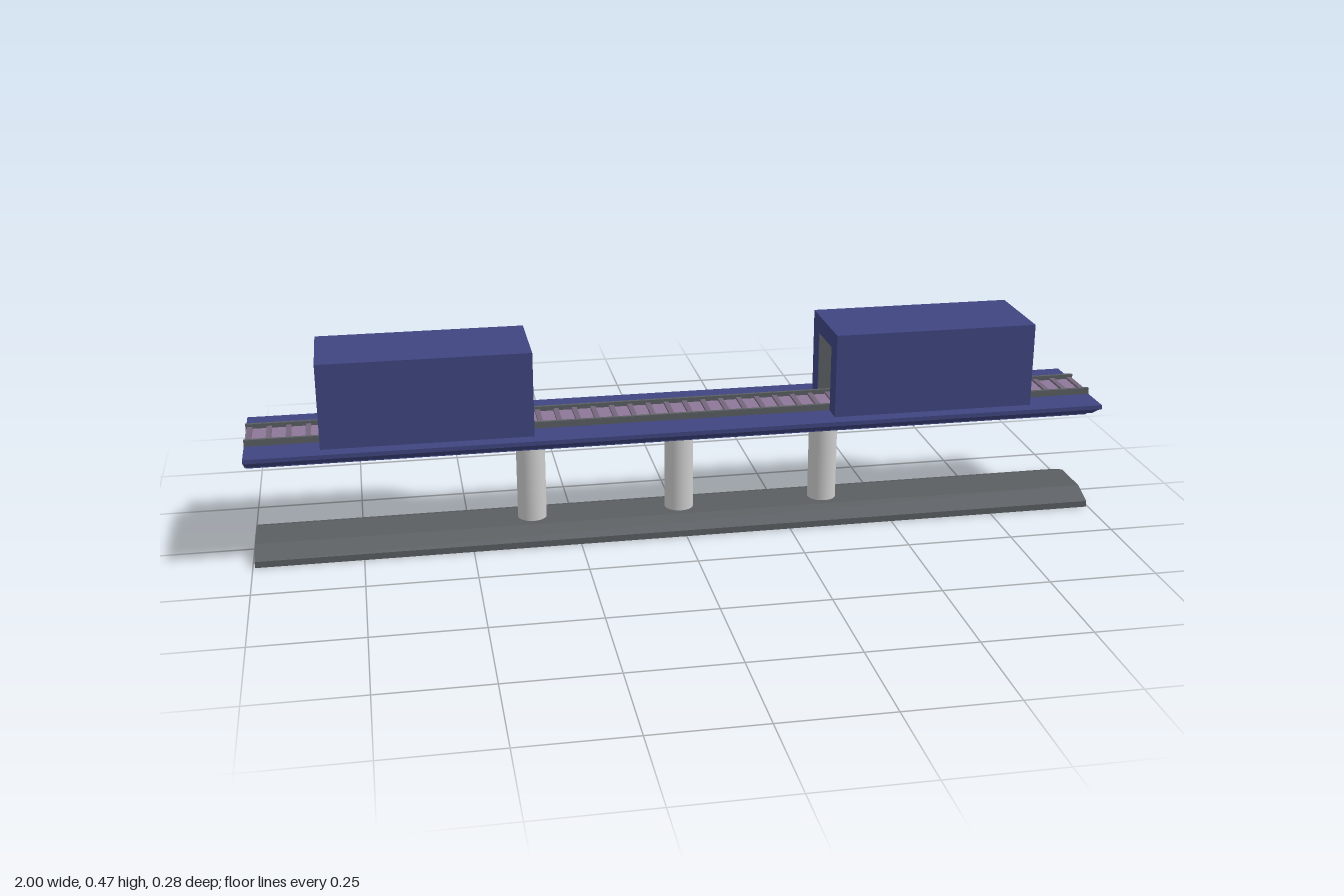
import * as THREE from 'three';

const material = (name, color) => {
  const m = new THREE.MeshStandardMaterial({ color });
  m.name = name;
  return m;
};

// Extrude a closed [z, y] profile along x, centred on x = 0
function prism(points, length) {
  const shape = new THREE.Shape(points.map(([z, y]) => new THREE.Vector2(z, y)));
  const geo = new THREE.ExtrudeGeometry(shape, { depth: length, bevelEnabled: false });
  return geo.translate(0, 0, -length / 2).rotateY(Math.PI / 2);
}

// Mirror a half profile across z = 0
const mirrored = half => [...half, ...half.map(([z, y]) => [-z, y]).reverse()];

// Upside-down U outline, open at the bottom
const arch = (outer, top, inner, ceiling, floor) => mirrored([
  [outer, top], [outer, floor], [inner, floor], [inner, ceiling],
]);

export function createModel() {
  const group = new THREE.Group();
  const blue = material('deck blue', 0x3f4580);
  const darkGrey = material('dark grey', 0x5a5e62);
  const lightGrey = material('light grey', 0xcccccc);
  const mauve = material('track bed mauve', 0x8d7898);
  const tieGrey = material('tie grey mauve', 0x74667c);

  const add = (name, geo, mat, x = 0, y = 0, z = 0) => {
    const mesh = new THREE.Mesh(geo, mat);
    mesh.name = name;
    mesh.position.set(x, y, z);
    group.add(mesh);
    return mesh;
  };

  // Ground plinth with sloping shoulders
  add('base', prism(mirrored([[0.108, 0], [0.108, 0.015], [0.053, 0.035]]), 1.99), darkGrey);

  // Bridge deck
  add('deck', prism(mirrored([
    [0.055, 0.222], [0.055, 0.238], [0.09, 0.238],
    [0.118, 0.255], [0.14, 0.265], [0.14, 0.275],
  ]), 2), blue);

  // Round pillars
  const pillar = new THREE.CylinderGeometry(0.034, 0.034, 0.19, 32);
  for (const x of [-0.353, 0, 0.353]) add('pillar', pillar, lightGrey, x, 0.129);

  // Track bed, cross ties and rails
  add('trackBed', new THREE.BoxGeometry(1.998, 0.005, 0.1), mauve, 0, 0.2765);
  const tie = new THREE.BoxGeometry(0.012, 0.009, 0.1);
  const count = 46, pitch = 1.98 / (count - 1);
  for (let i = 0; i < count; i++) add('tie', tie, tieGrey, -0.99 + i * pitch, 0.2795);
  const rail = new THREE.BoxGeometry(2, 0.015, 0.008);
  for (const side of [-1, 1]) add('rail', rail, darkGrey, 0, 0.2825, side * 0.052);

  // Two covered sections with a lined passage and an inner partition
  const shell = prism(arch(0.106, 0.474, 0.058, 0.432, 0.274), 0.48);
  const lining = prism(arch(0.0585, 0.4325, 0.056, 0.43, 0.274), 0.478);
  const partition = new THREE.BoxGeometry(0.006, 0.156, 0.114);
  for (const side of [-1, 1]) {
    add('tunnel', shell, blue, side * 0.592);
    add('tunnelLining', lining, darkGrey, side * 0.592);
    add('tunnelPartition', partition, lightGrey, side * 0.592, 0.353);
  }
  return group;
}
